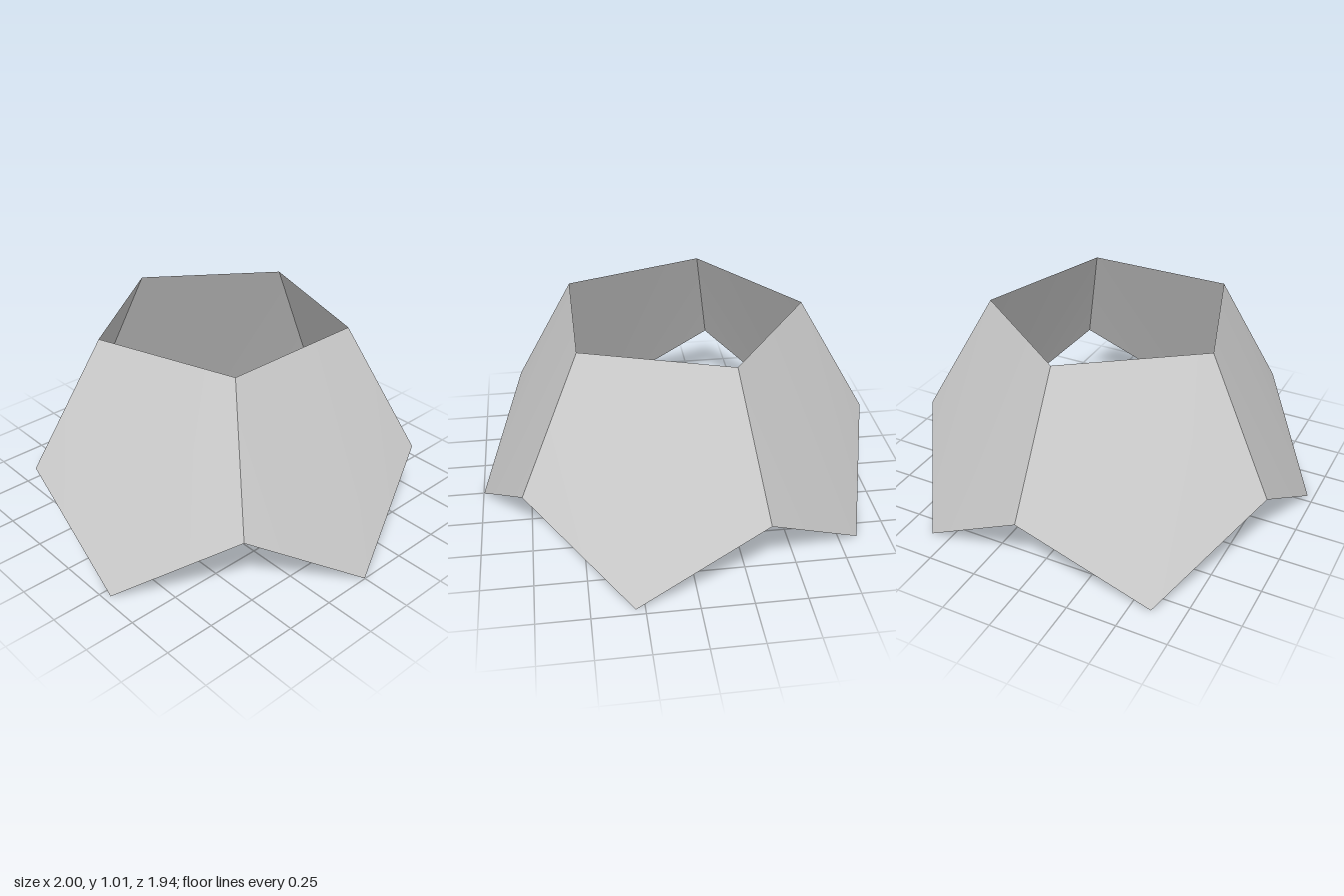
import * as THREE from 'three';

// Open ring of five pentagonal panels, leaning in towards the top
const SIDES = 5;
const CENTRE_X = -0.02;
const TOP = { r: 0.62, y: 1.01 };
const MIDDLE = { r: 0.98, y: 0.385 };
const FOOT = { r: 1.018, y: 0 };

function ringPoint({ r, y }, angle) {
  return [CENTRE_X + r * Math.cos(angle), y, r * Math.sin(angle)];
}

// One panel: top edge, two shoulders shared with its neighbours, pointed foot
function panelGeometry(angle) {
  const half = Math.PI / SIDES;
  const points = [
    ringPoint(TOP, angle + half),
    ringPoint(MIDDLE, angle + half),
    ringPoint(FOOT, angle),
    ringPoint(MIDDLE, angle - half),
    ringPoint(TOP, angle - half),
  ];
  const geometry = new THREE.BufferGeometry();
  geometry.setAttribute('position', new THREE.Float32BufferAttribute(points.flat(), 3));
  geometry.setIndex([0, 1, 2, 0, 2, 4, 4, 2, 3]);
  geometry.computeVertexNormals();
  return geometry;
}

export function createModel() {
  const group = new THREE.Group();
  group.name = 'pentagonPanelRing';
  const material = new THREE.MeshStandardMaterial({ color: 0xcccccc, side: THREE.DoubleSide });
  for (let i = 0; i < SIDES; i++) {
    const panel = new THREE.Mesh(panelGeometry((i * 2 * Math.PI) / SIDES), material);
    panel.name = `panel${i + 1}`;
    group.add(panel);
  }
  return group;
}
